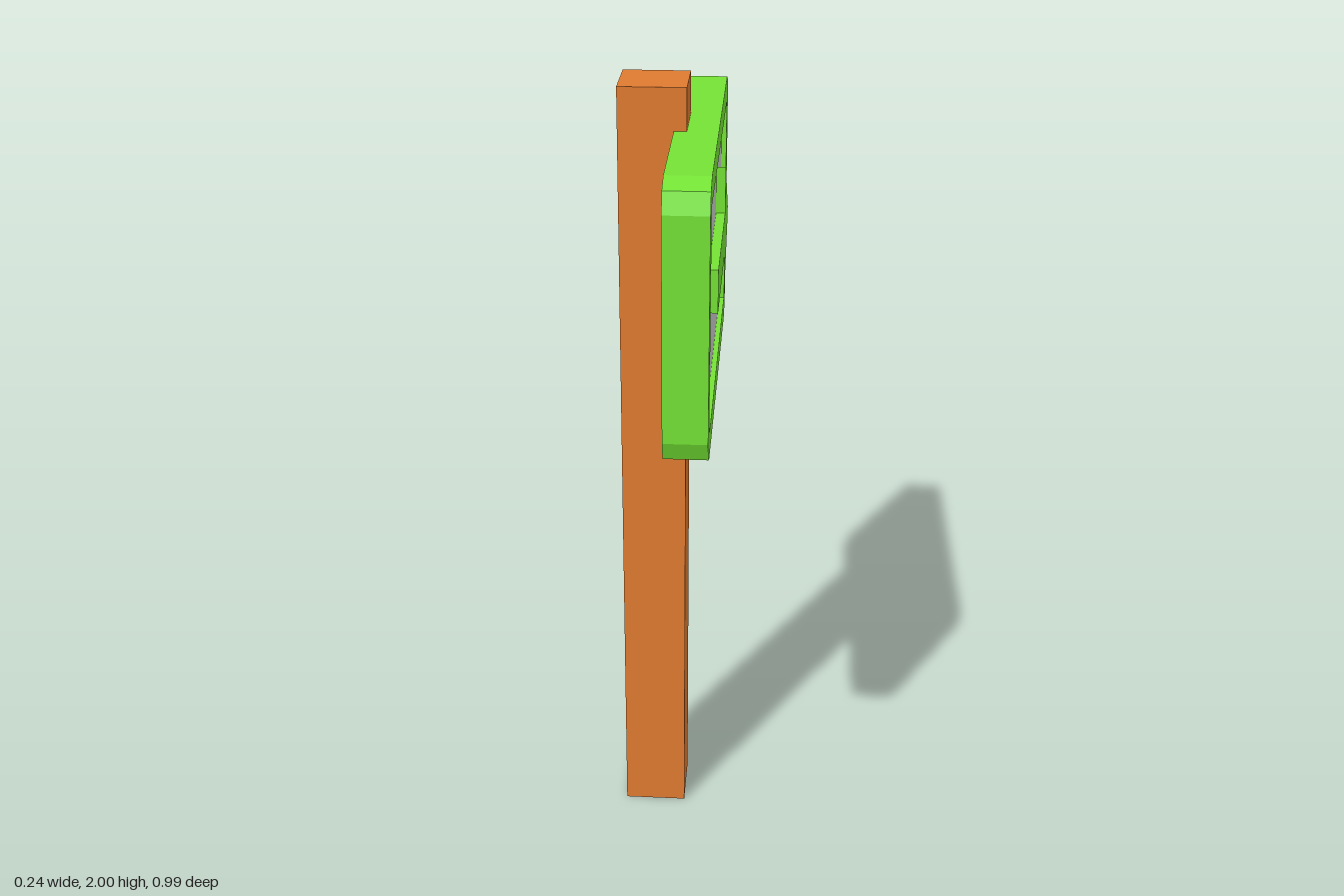
import * as THREE from 'three';

const mat = (color) => new THREE.MeshStandardMaterial({ color, flatShading: true });
const toPoints = (list) => list.map(([u, v]) => new THREE.Vector2(u, v));

// Rectangle with corners cut in two facets; c = corner reach, k = inset of the middle corner point
function facetedRect(u0, u1, v0, v1, c, k) {
  return toPoints([
    [u0 + c, v0], [u1 - c, v0], [u1 - k, v0 + k], [u1, v0 + c],
    [u1, v1 - c], [u1 - k, v1 - k], [u1 - c, v1],
    [u0 + c, v1], [u0 + k, v1 - k], [u0, v1 - c],
    [u0, v0 + c], [u0 + k, v0 + k],
  ]);
}

// Extrude a (u, v) outline from x0 to x1, with u running towards -z and v upwards
function slab(name, outline, x0, x1, material, hole) {
  const shape = new THREE.Shape(outline);
  if (hole) shape.holes.push(new THREE.Path(hole));
  const geo = new THREE.ExtrudeGeometry(shape, { depth: x1 - x0, bevelEnabled: false });
  geo.rotateY(Math.PI / 2).translate(x0, 0, 0);
  const mesh = new THREE.Mesh(geo, material);
  mesh.name = name;
  return mesh;
}

export function createModel() {
  const model = new THREE.Group();
  model.name = 'signpost';
  const wood = mat(0xe07b30);
  const green = mat(0x74e235);
  const grey = mat(0xcccccc);

  // Square post
  const post = new THREE.Mesh(new THREE.BoxGeometry(0.16, 2, 0.16), wood);
  post.position.set(-0.043, 1, 0.01);
  post.name = 'post';

  // Board: solid back, raised rim, recessed face
  const outer = facetedRect(-0.492, 0.495, 1.24, 1.9, 0.066, 0.019);
  const inner = facetedRect(-0.437, 0.432, 1.3, 1.838, 0.018, 0.005);
  const face = 0.097;
  const board = new THREE.Group();
  board.name = 'signBoard';
  board.add(
    slab('boardBack', outer, 0.007, face - 0.002, green),
    slab('boardRim', outer, face - 0.002, 0.11, green, inner),
    slab('facePanel', inner, face - 0.006, face, grey),
  );

  // Raised arrow with a blunt tip
  const arrow = toPoints([
    [-0.275, 1.533], [0.127, 1.533], [0.127, 1.414], [0.31, 1.573],
    [0.31, 1.595], [0.127, 1.753], [0.127, 1.637], [-0.275, 1.637],
  ]);
  board.add(slab('arrow', arrow, face - 0.003, 0.12, green));

  model.add(post, board);
  return model;
}
